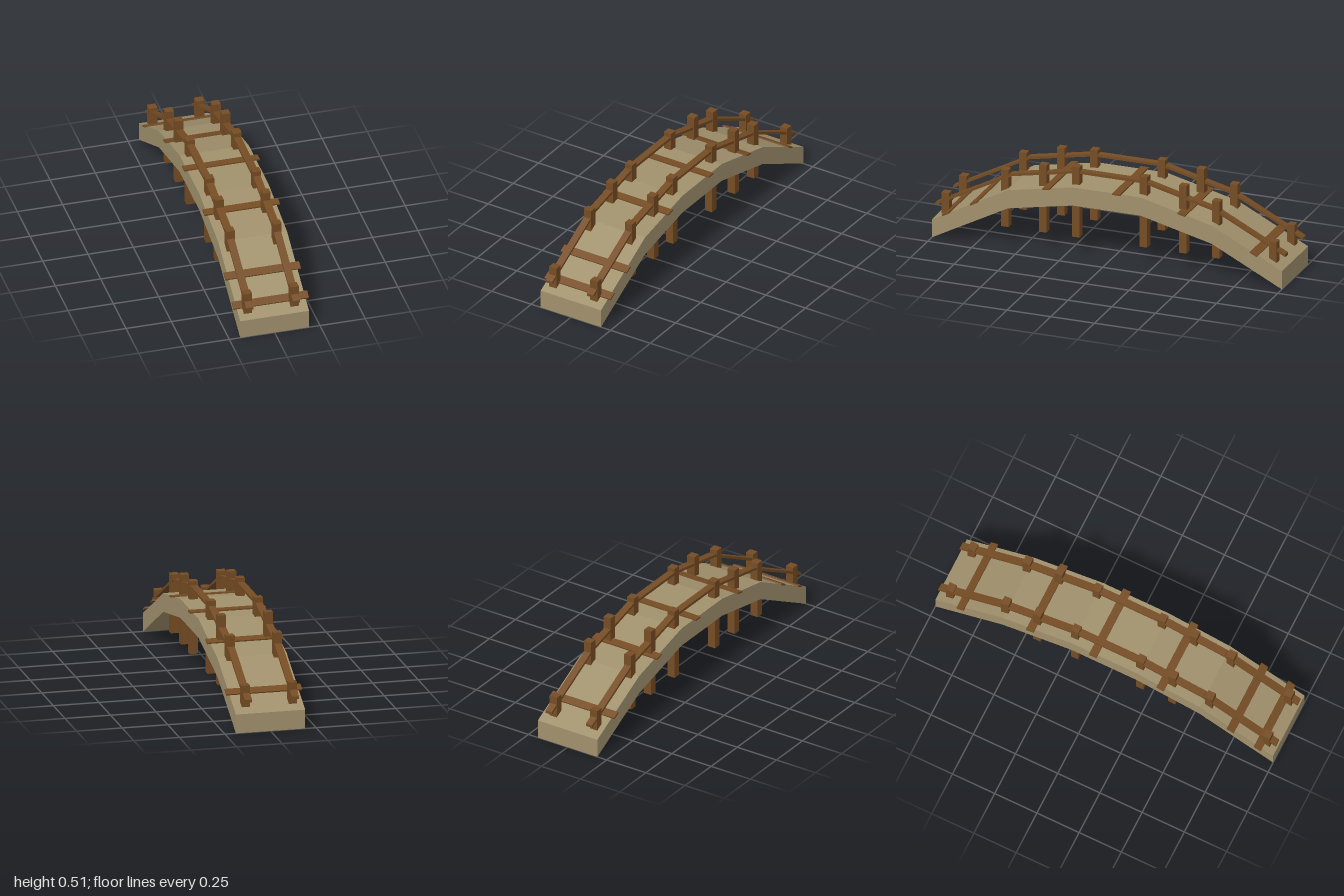
import * as THREE from 'three';

const stone = new THREE.MeshStandardMaterial({ color: 0xa0906c, flatShading: true });
const wood = new THREE.MeshStandardMaterial({ color: 0x754c24, flatShading: true });

// Walking surface as [z, y], from the front end to the back end
const deckTop = [[1, 0.105], [0.565, 0.336], [0.197, 0.407], [-0.193, 0.407], [-0.6, 0.306], [-1, 0.105]];
const railX = [-0.137, 0.121];

// Bar of constant upright thickness that follows the arch
function archBar(name, topOffset, thickness, width, x, material) {
  const upper = deckTop.map(([z, y]) => new THREE.Vector2(z, y + topOffset));
  const lower = upper.map((p) => new THREE.Vector2(p.x, p.y - thickness)).reverse();
  const geo = new THREE.ExtrudeGeometry(new THREE.Shape([...upper, ...lower]), { depth: width, bevelEnabled: false });
  geo.translate(0, 0, -width / 2);
  geo.rotateY(-Math.PI / 2);
  const mesh = new THREE.Mesh(geo, material);
  mesh.name = name;
  mesh.position.x = x;
  return mesh;
}

// Height and slope of the walking surface at z
function deckAt(z) {
  let i = 0;
  while (i < deckTop.length - 2 && z < deckTop[i + 1][0]) i++;
  const [z0, y0] = deckTop[i], [z1, y1] = deckTop[i + 1];
  const slope = (y1 - y0) / (z1 - z0);
  return { y: y0 + slope * (z - z0), slope };
}

function box(name, w, h, d, x, y, z) {
  const mesh = new THREE.Mesh(new THREE.BoxGeometry(w, h, d), wood);
  mesh.name = name;
  mesh.position.set(x, y, z);
  return mesh;
}

export function createModel() {
  const bridge = new THREE.Group();
  bridge.name = 'archedFootbridge';

  // Arched deck slab
  bridge.add(archBar('deck', 0, 0.104, 0.38, 0, stone));

  // Handrails
  for (const x of railX) bridge.add(archBar('handrail', 0.077, 0.015, 0.04, x, wood));

  // Posts passing through the deck: [z, top]
  const posts = [[0.943, 0.247], [0.602, 0.43], [0.384, 0.49], [0.195, 0.507],
    [-0.191, 0.507], [-0.415, 0.49], [-0.605, 0.43], [-0.931, 0.247]];
  const postBottom = 0.105;
  for (const x of railX) {
    for (const [z, top] of posts) {
      const shift = z > 0.9 ? 0 : z > -0.3 ? 0.001 : 0.002;
      bridge.add(box('post', 0.045, top - postBottom, 0.043, x + shift, (top + postBottom) / 2, z));
    }
  }

  // Cross slats lying on the slope of the deck
  for (const z of [0.915, 0.755, 0.34, -0.06, -0.432, -0.845]) {
    const { y, slope } = deckAt(z);
    const slat = box('crossSlat', 0.416, 0.009, 0.045, 0, y + 0.003, z);
    slat.rotation.x = -Math.atan(slope);
    bridge.add(slat);
  }

  return bridge;
}
